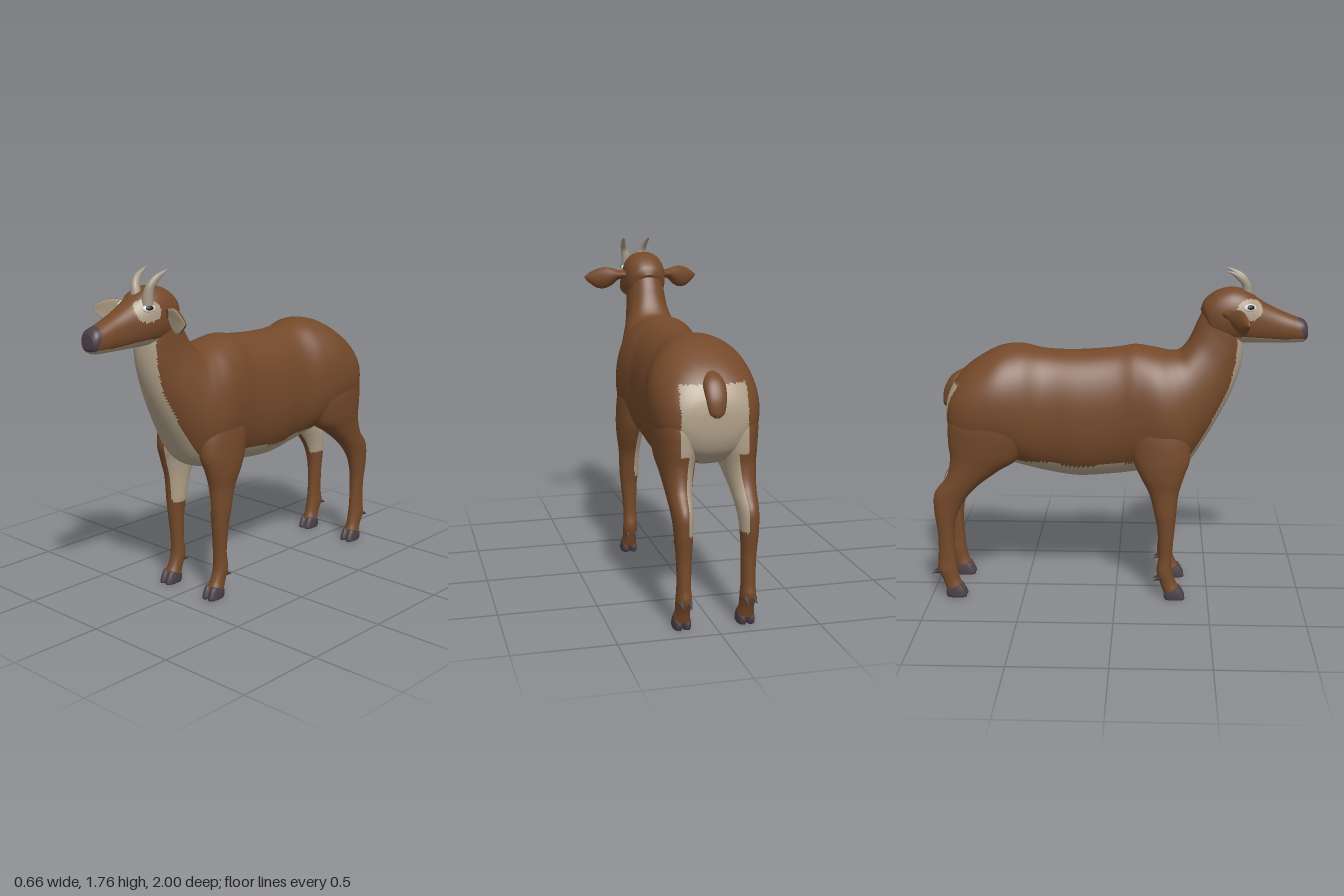
import * as THREE from 'three';

const mat = (name, color) => Object.assign(new THREE.MeshStandardMaterial({ color }), { name });

// Smooth interpolation between neighbouring cross-sections
function blend(a, b, c, d, t) {
  return 0.5 * (2 * b + (c - a) * t + (2 * a - 5 * b + 4 * c - d) * t * t + (3 * b - a - 3 * c + d) * t * t * t);
}

// Loft through sections [zTop, yTop, zBottom, yBottom, halfWidth, centreX].
// pick(point, normal) returns the material index of each triangle.
function loft(sections, { ring = 32, steps = 6, power = 2.1, bend = 0, pick = () => 0 } = {}) {
  const pos = [], tris = [], n = sections.length;
  const rows = (n - 1) * steps + 1;
  const at = (i, k) => sections[Math.min(n - 1, Math.max(0, i))][k] ?? 0;
  const shape = v => Math.sign(v) * Math.abs(v) ** (2 / power);
  const ends = [];
  for (let r = 0; r < rows; r++) {
    const i = Math.min(n - 2, Math.floor(r / steps)), t = r / steps - i;
    const [zt, yt, zb, yb, w, cx] = [0, 1, 2, 3, 4, 5].map(k => blend(at(i - 1, k), at(i, k), at(i + 1, k), at(i + 2, k), t));
    for (let j = 0; j < ring; j++) {
      const a = j / ring * Math.PI * 2, c = shape(Math.cos(a)), s = shape(Math.sin(a));
      pos.push(cx + w * c - bend * s * s * w, (yt + yb) / 2 + (yt - yb) / 2 * s, (zt + zb) / 2 + (zt - zb) / 2 * s);
      if (r < rows - 1) {
        const p = r * ring + j, q = r * ring + (j + 1) % ring;
        tris.push([p, q, p + ring], [q, q + ring, p + ring]);
      }
    }
    if (r === 0 || r === rows - 1) ends.push([cx, (yt + yb) / 2, (zt + zb) / 2]);
  }
  // Closed ends
  pos.push(...ends[0], ...ends[1]);
  const first = rows * ring, last = (rows - 1) * ring;
  for (let j = 0; j < ring; j++) {
    const k = (j + 1) % ring;
    tris.push([first, k, j], [first + 1, last + j, last + k]);
  }
  const v = i => new THREE.Vector3().fromArray(pos, i * 3);
  let volume = 0;
  for (const [a, b, c] of tris) volume += v(a).dot(v(b).cross(v(c)));
  // Sort triangles by colour
  const buckets = [];
  for (const t of tris) {
    if (volume < 0) t.reverse();
    const [a, b, c] = t.map(v);
    const normal = b.clone().sub(a).cross(c.clone().sub(a)).normalize();
    const m = pick(a.add(b).add(c).divideScalar(3), normal);
    (buckets[m] ??= []).push(...t);
  }
  const geo = new THREE.BufferGeometry();
  geo.setAttribute('position', new THREE.Float32BufferAttribute(pos, 3));
  geo.setIndex(buckets.flat().filter(i => i !== undefined));
  let start = 0;
  buckets.forEach((b, m) => { geo.addGroup(start, b.length, m); start += b.length; });
  geo.computeVertexNormals();
  return geo;
}

// Copy of a geometry reflected to the other side
function mirrored(geo) {
  const g = geo.clone().scale(-1, 1, 1), ix = g.index.array;
  for (let i = 0; i < ix.length; i += 3) [ix[i], ix[i + 1]] = [ix[i + 1], ix[i]];
  return g;
}

export function createModel() {
  const model = new THREE.Group();
  model.name = 'hornedAnimal';
  const coat = mat('brownCoat', 0x74492a), cream = mat('creamFur', 0xaf9f88), hoofMat = mat('darkHoof', 0x4a3f45);
  const hornMat = mat('horn', 0xa69b8a), white = mat('eyeWhite', 0xdcdcd8), black = mat('pupil', 0x19171a);
  const coats = [coat, cream, hoofMat];
  const add = (name, geo, m) => {
    const mesh = new THREE.Mesh(geo, m);
    mesh.name = name;
    model.add(mesh);
  };
  const pair = (name, geo, m) => {
    add('left' + name, geo, m);
    add('right' + name, mirrored(geo), m);
  };

  // Torso and neck with cream bib, belly and rump
  add('torsoAndNeck', loft([
    [-0.9, 1.06, -0.9, 0.98, 0.07], [-0.882, 1.13, -0.89, 0.91, 0.155], [-0.83, 1.215, -0.855, 0.84, 0.215],
    [-0.75, 1.285, -0.77, 0.78, 0.255], [-0.62, 1.355, -0.64, 0.755, 0.268], [-0.5, 1.37, -0.5, 0.715, 0.248],
    [-0.37, 1.345, -0.37, 0.68, 0.212], [-0.2, 1.34, -0.2, 0.655, 0.215], [0, 1.355, 0, 0.668, 0.208],
    [0.1, 1.37, 0.13, 0.685, 0.222], [0.2, 1.355, 0.27, 0.69, 0.236], [0.28, 1.34, 0.38, 0.73, 0.218],
    [0.33, 1.345, 0.47, 0.86, 0.185], [0.37, 1.385, 0.56, 1.02, 0.15], [0.4, 1.44, 0.625, 1.16, 0.122],
    [0.43, 1.51, 0.66, 1.28, 0.108], [0.47, 1.585, 0.665, 1.39, 0.1], [0.53, 1.62, 0.64, 1.45, 0.08],
  ], {
    ring: 72, steps: 8, power: 2.2, pick: (p, n) => {
      const x = Math.abs(p.x);
      const bib = p.z > 0.3 && n.y < 0.2 && n.z > 0 && x < 0.082 + 0.13 * Math.max(0, 1.15 - p.y);
      const belly = p.y < 0.8 && n.y < -0.5 && x < 0.15;
      const rump = p.z < -0.8 && p.y < 1.18 && x < 0.165;
      return bib || belly || rump ? 1 : 0;
    },
  }), coats);

  // Head with dark nose, cream chin and eye patches
  add('head', loft([
    [0.44, 1.56, 0.5, 1.46, 0.05], [0.46, 1.61, 0.5, 1.42, 0.088], [0.52, 1.658, 0.54, 1.397, 0.11],
    [0.6, 1.678, 0.6, 1.39, 0.118], [0.68, 1.66, 0.67, 1.388, 0.11], [0.75, 1.612, 0.75, 1.388, 0.088],
    [0.84, 1.565, 0.84, 1.388, 0.072], [0.93, 1.527, 0.93, 1.39, 0.064], [0.975, 1.512, 0.98, 1.395, 0.057],
    [0.995, 1.488, 1, 1.42, 0.04],
  ], {
    ring: 72, steps: 8, power: 2.3, pick: (p, n) => {
      if (p.z + (p.y - 1.45) * 0.3 > 0.967 && p.y > 1.41) return 2;
      const patch = ((p.z - 0.69) / 0.066) ** 2 + ((p.y - 1.572) / 0.055) ** 2 < 1;
      return patch || (n.y < -0.55 && p.y < 1.43) ? 1 : 0;
    },
  }), coats);

  // Eyes: flattened white ball with a dark pupil
  const eyeBall = (rx, ry, rz, out) => new THREE.SphereGeometry(1, 20, 14).scale(rx, ry, rz)
    .rotateZ(0.38).rotateY(-0.33).translate(0.098 + out, 1.586 + out * 0.4, 0.69 + out * 0.35);
  pair('EyeWhite', eyeBall(0.012, 0.02, 0.034, 0), white);
  pair('Pupil', eyeBall(0.012, 0.014, 0.024, 0.003), black);

  // Ears: cupped blades with cream inner face
  pair('Ear', loft([
    [0, 1.578, 0, 1.53, 0.02], [0.06, 1.578, 0.06, 1.525, 0.02], [0.1, 1.588, 0.1, 1.492, 0.02],
    [0.145, 1.592, 0.145, 1.472, 0.019], [0.19, 1.582, 0.19, 1.475, 0.016], [0.23, 1.562, 0.23, 1.5, 0.011],
    [0.258, 1.54, 0.258, 1.528, 0.004],
  ], { bend: 0.7, pick: (p, n) => (n.x < -0.5 && p.z > 0.065 ? 1 : 0) })
    .rotateY(1.12).translate(0.095, 0, 0.56), coats);

  // Curved horns
  for (const [name, base, tip] of [['rightHorn', 0.002, -0.032], ['leftHorn', 0.08, 0.115]]) {
    const x = t => base + (tip - base) * t;
    add(name, loft([
      [0.712, 1.58, 0.656, 1.585, 0.028, x(0)], [0.707, 1.65, 0.654, 1.65, 0.026, x(0.1)],
      [0.694, 1.7, 0.652, 1.685, 0.02, x(0.4)], [0.66, 1.738, 0.63, 1.715, 0.014, x(0.7)],
      [0.605, 1.76, 0.595, 1.748, 0.007, x(0.93)], [0.576, 1.763, 0.574, 1.758, 0.002, x(1)],
    ], { ring: 16 }), hornMat);
  }

  // Short tail
  add('tail', loft([
    [-0.78, 1.25, -0.78, 1.15, 0.045], [-0.87, 1.205, -0.83, 1.14, 0.055], [-0.918, 1.13, -0.87, 1.11, 0.05],
    [-0.928, 1.06, -0.89, 1.05, 0.038], [-0.92, 1.03, -0.9, 1.03, 0.012],
  ], { ring: 24 }), coat);

  // Front legs with cream inner side
  pair('FrontLeg', loft([
    [0.28, 1.15, 0.12, 1.15, 0.05, 0.13], [0.37, 0.95, 0.08, 0.95, 0.076, 0.148], [0.395, 0.8, 0.09, 0.8, 0.08, 0.155],
    [0.366, 0.7, 0.13, 0.7, 0.068, 0.165], [0.337, 0.6, 0.18, 0.6, 0.056, 0.165], [0.325, 0.48, 0.21, 0.48, 0.052, 0.165],
    [0.318, 0.4, 0.225, 0.4, 0.044, 0.165], [0.306, 0.25, 0.234, 0.25, 0.036, 0.16], [0.306, 0.16, 0.224, 0.16, 0.039, 0.16],
    [0.325, 0.1, 0.242, 0.09, 0.037, 0.16], [0.348, 0.06, 0.262, 0.035, 0.041, 0.16],
  ], { ring: 40, steps: 8, pick: (p, n) => (p.y > 0.46 && (n.x < -0.4 || p.x < 0.125) ? 1 : 0) }), coats);

  // Hind legs with thigh and hock, cream inside and behind
  pair('HindLeg', loft([
    [-0.5, 1.14, -0.8, 1.16, 0.09, 0.14], [-0.45, 0.95, -0.875, 1, 0.11, 0.148], [-0.51, 0.79, -0.885, 0.88, 0.098, 0.15],
    [-0.62, 0.715, -0.877, 0.78, 0.078, 0.155], [-0.74, 0.625, -0.9, 0.68, 0.06, 0.16], [-0.82, 0.53, -0.965, 0.59, 0.049, 0.162],
    [-0.86, 0.43, -0.972, 0.49, 0.043, 0.162], [-0.87, 0.33, -0.957, 0.35, 0.036, 0.16], [-0.866, 0.22, -0.96, 0.22, 0.034, 0.16],
    [-0.86, 0.16, -0.966, 0.155, 0.038, 0.16], [-0.848, 0.1, -0.938, 0.09, 0.036, 0.16], [-0.832, 0.06, -0.92, 0.035, 0.041, 0.16],
  ], {
    ring: 40, steps: 8,
    pick: (p, n) => (p.y > 0.48 && p.y < 1.15 && (n.x < -0.4 || (p.z < -0.8 && p.y > 0.84 && p.x < 0.165)) ? 1 : 0),
  }), coats);

  // Cloven hooves and dewclaws
  for (const [name, dz, clawY, clawZ] of [['Front', 0, 0.115, 0.225], ['Hind', -1.185, 0.14, -0.972]]) {
    for (const [toe, x] of [['Inner', 0.139], ['Outer', 0.181]]) {
      pair(name + toe + 'Hoof', loft([
        [0.345 + dz, 0.072, 0.265 + dz, 0.04, 0.019, x], [0.362 + dz, 0.045, 0.262 + dz, 0.025, 0.022, x],
        [0.376 + dz, 0.012, 0.266 + dz, 0.008, 0.023, x], [0.374 + dz, 0, 0.27 + dz, 0, 0.021, x],
      ], { ring: 20, steps: 4, power: 2.4 }), hoofMat);
      pair(name + toe + 'Dewclaw', new THREE.ConeGeometry(0.014, 0.055, 10)
        .rotateX(-1.9).translate(x, clawY, clawZ), hoofMat);
    }
  }
  return model;
}
